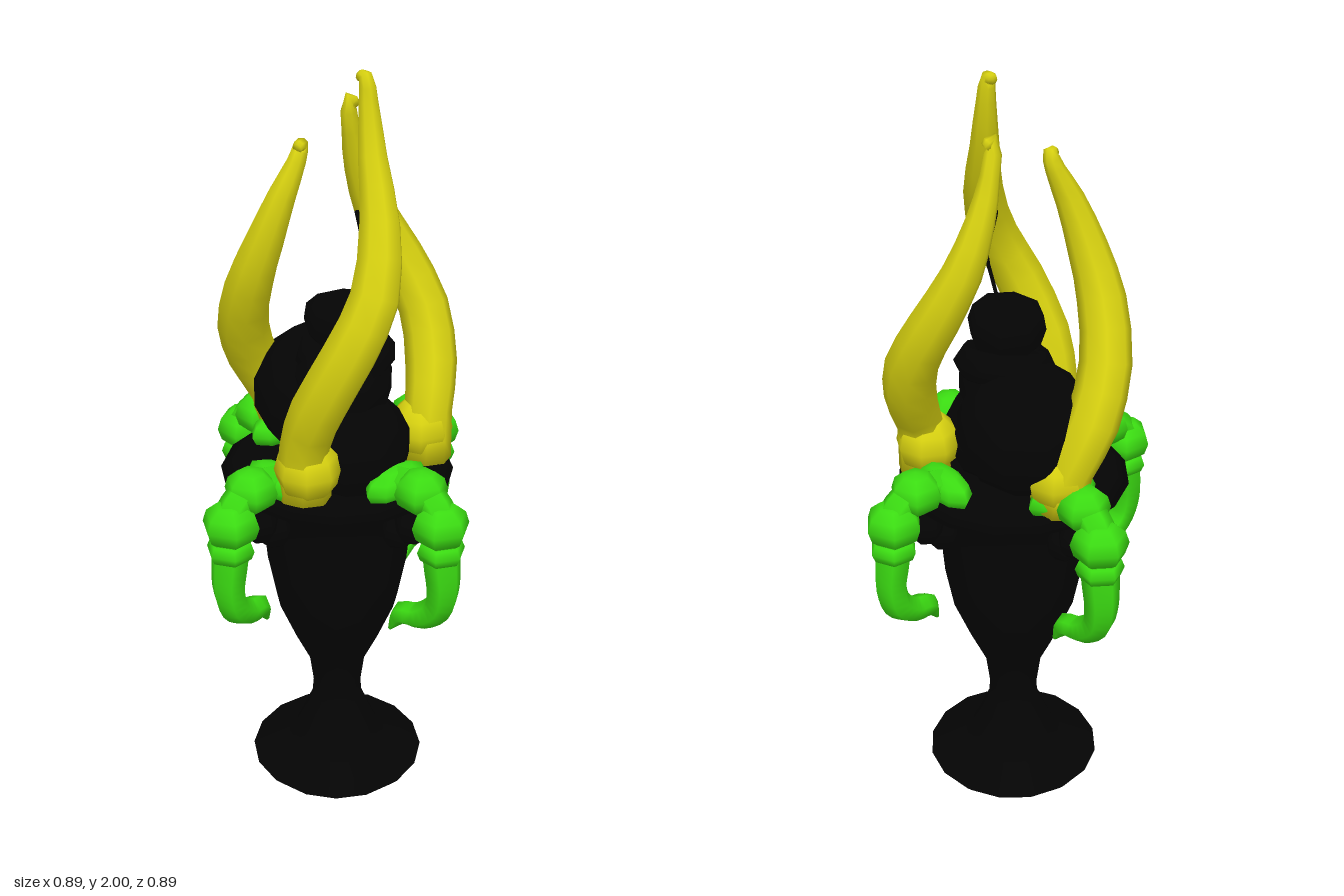
import * as THREE from 'three';

const black = new THREE.MeshStandardMaterial({ color: 0x040404 });
black.name = 'black';
const yellow = new THREE.MeshStandardMaterial({ color: 0xd6d010 });
yellow.name = 'yellow';
const green = new THREE.MeshStandardMaterial({ color: 0x3bdc12 });
green.name = 'green';

// Tapered tube through rows of [x, y, z, radius], closed at both ends;
// the first corner of each ring starts out towards the normal
function sweep(rows, sides, steps, normal) {
  const path = new THREE.CatmullRomCurve3(rows.map(r => new THREE.Vector3(r[0], r[1], r[2])));
  const radiusAt = t => {
    const f = t * (rows.length - 1);
    const i = Math.min(Math.floor(f), rows.length - 2);
    return THREE.MathUtils.lerp(rows[i][3], rows[i + 1][3], f - i);
  };
  const positions = [], index = [];
  const n = normal.clone();
  const addRing = (t, radius) => {
    const p = path.getPoint(t), d = path.getTangent(t);
    n.addScaledVector(d, -n.dot(d)).normalize();
    const b = new THREE.Vector3().crossVectors(d, n);
    for (let j = 0; j < sides; j++) {
      const a = j / sides * Math.PI * 2;
      const v = p.clone().addScaledVector(n, Math.cos(a) * radius).addScaledVector(b, Math.sin(a) * radius);
      positions.push(v.x, v.y, v.z);
    }
  };
  addRing(0, 0);
  for (let i = 0; i <= steps; i++) addRing(i / steps, radiusAt(i / steps));
  addRing(1, 0);
  for (let i = 0; i < steps + 2; i++) {
    for (let j = 0; j < sides; j++) {
      const k = (j + 1) % sides;
      const a = i * sides + j, b = i * sides + k, c = a + sides, d = b + sides;
      index.push(a, b, c, b, d, c);
    }
  }
  const g = new THREE.BufferGeometry();
  g.setAttribute('position', new THREE.Float32BufferAttribute(positions, 3));
  g.setIndex(index);
  g.computeVertexNormals();
  return g;
}

function add(parent, name, geometry, material, x = 0, y = 0, z = 0) {
  const m = new THREE.Mesh(geometry, material);
  m.name = name;
  m.position.set(x, y, z);
  parent.add(m);
  return m;
}

const lathe = (points, sides) =>
  new THREE.LatheGeometry(points.map(p => new THREE.Vector2(p[0], p[1])), sides);

// Six-sided ball with a corner facing outward
const knuckle = (radius, squash) =>
  new THREE.SphereGeometry(radius, 6, 6).rotateY(Math.PI / 2).scale(1, squash, 1);

export function createModel() {
  const model = new THREE.Group();
  model.name = 'tentacleSundae';
  const outward = new THREE.Vector3(0, 0, 1);
  const upward = new THREE.Vector3(0, 1, 0);

  // Footed glass with a thin flared lip
  add(model, 'glass', lathe([
    [0, 0], [0.22, 0], [0.24, 0.022], [0.14, 0.06], [0.115, 0.1], [0.07, 0.205], [0.066, 0.25],
    [0.078, 0.34], [0.12, 0.43], [0.165, 0.54], [0.188, 0.66], [0.2, 0.8],
    [0.21, 0.88], [0.25, 0.915], [0.305, 0.94], [0.27, 0.962], [0.2, 0.95], [0, 0.95],
  ], 16), black);

  // Scoops and swirl of cream
  const cream = new THREE.Group();
  cream.name = 'cream';
  model.add(cream);
  const scoops = [
    [0.025, 1.13, -0.088, 0.178], [-0.01, 1.04, 0.07, 0.15], [0, 1.2, 0.02, 0.13],
  ];
  for (const [x, y, z, r] of scoops) {
    add(cream, 'scoop', new THREE.SphereGeometry(r, 10, 7), black, x, y, z);
  }
  const swirl = add(cream, 'swirl', new THREE.TorusGeometry(0.085, 0.045, 6, 12), black, 0.02, 1.27, 0.01);
  swirl.rotation.set(Math.PI / 2 + 0.15, 0.2, 0);

  // Tilted cherry with a dimpled top and bent stalk
  const cherry = add(model, 'cherry', lathe([
    [0, -0.08], [0.06, -0.07], [0.09, -0.03], [0.1, 0.015], [0.09, 0.055], [0.05, 0.065], [0, 0.045],
  ], 8), black, 0.01, 1.36, 0.015);
  cherry.rotation.x = -0.12;
  add(model, 'cherryStalk', sweep([
    [0.01, 1.4, 0.04, 0.005], [0.015, 1.47, 0.065, 0.005], [0.02, 1.54, 0.085, 0.005],
    [0.015, 1.6, 0.07, 0.005], [0.012, 1.66, 0.055, 0.006],
  ], 5, 10, outward), black);

  // Three tall tentacles spiralling up from the cream, each with a root lump
  const radii = [0.07, 0.062, 0.068, 0.066, 0.061, 0.05, 0.036, 0.024, 0.018, 0.012];
  const tallPaths = [
    [[-0.185, 0.96, 0.07], [-0.2, 1.11, 0.09], [-0.203, 1.24, 0.145], [-0.165, 1.39, 0.21], [-0.1, 1.52, 0.228],
      [-0.032, 1.67, 0.175], [0.003, 1.81, 0.115], [0.018, 1.93, 0.085], [0.018, 1.985, 0.075], [0.018, 1.985, 0.055]],
    [[0.185, 0.96, 0.14], [0.195, 1.09, 0.14], [0.245, 1.2, 0.1], [0.275, 1.33, 0.04], [0.252, 1.46, -0.03],
      [0.2, 1.59, -0.075], [0.15, 1.71, -0.08], [0.115, 1.81, -0.07], [0.1, 1.89, -0.06], [0.118, 1.875, -0.055]],
    [[0.02, 0.96, -0.215], [0, 1.07, -0.24], [-0.06, 1.19, -0.25], [-0.125, 1.32, -0.215], [-0.158, 1.46, -0.15],
      [-0.15, 1.58, -0.1], [-0.12, 1.7, -0.065], [-0.085, 1.78, -0.05], [-0.075, 1.82, -0.045], [-0.092, 1.815, -0.04]],
  ];
  const roots = [[-0.185, 1.04, 0.085], [0.182, 1.04, 0.125], [0.015, 1.04, -0.215]];
  tallPaths.forEach((path, k) => {
    const rows = path.map((p, i) => [...p, radii[i]]);
    add(model, 'tallTentacle', sweep(rows, 8, 18, outward), yellow);
    add(model, 'tentacleRoot', new THREE.SphereGeometry(0.085, 8, 6), yellow, ...roots[k]);
  });

  // Four hooked tentacles over the lip: tube, knuckles, inner pad and black lumps beneath
  const hook = sweep([
    [0, 0.98, 0.2, 0.045], [0, 0.99, 0.25, 0.045], [0, 0.99, 0.3, 0.045],
    [0, 0.965, 0.35, 0.045], [0, 0.92, 0.37, 0.05], [0, 0.86, 0.372, 0.05],
    [0, 0.8, 0.38, 0.048], [0, 0.74, 0.385, 0.044], [0, 0.675, 0.37, 0.04],
    [-0.01, 0.63, 0.32, 0.036], [-0.02, 0.615, 0.265, 0.032], [-0.03, 0.555, 0.23, 0.005],
  ], 6, 33, upward);
  const upperKnuckle = knuckle(0.07, 0.85);
  const middleKnuckle = knuckle(0.075, 0.85);
  const lowerKnuckle = knuckle(0.063, 0.7);
  const pad = new THREE.SphereGeometry(1, 8, 6).scale(0.105, 0.05, 0.05);
  const lump = new THREE.SphereGeometry(0.05, 6, 5);
  for (let i = 0; i < 4; i++) {
    const arm = new THREE.Group();
    arm.name = 'hookedTentacle';
    add(arm, 'hook', hook, green);
    add(arm, 'upperKnuckle', upperKnuckle, green, 0, 0.99, 0.3);
    add(arm, 'middleKnuckle', middleKnuckle, green, 0, 0.92, 0.369);
    add(arm, 'lowerKnuckle', lowerKnuckle, green, 0, 0.85, 0.373);
    add(arm, 'innerPad', pad, green, 0, 0.98, 0.215);
    add(arm, 'outerLump', lump, black, 0, 0.88, 0.275);
    add(arm, 'innerLump', lump, black, 0, 0.845, 0.225);
    arm.rotation.y = i * Math.PI / 2;
    model.add(arm);
  }

  return model;
}
